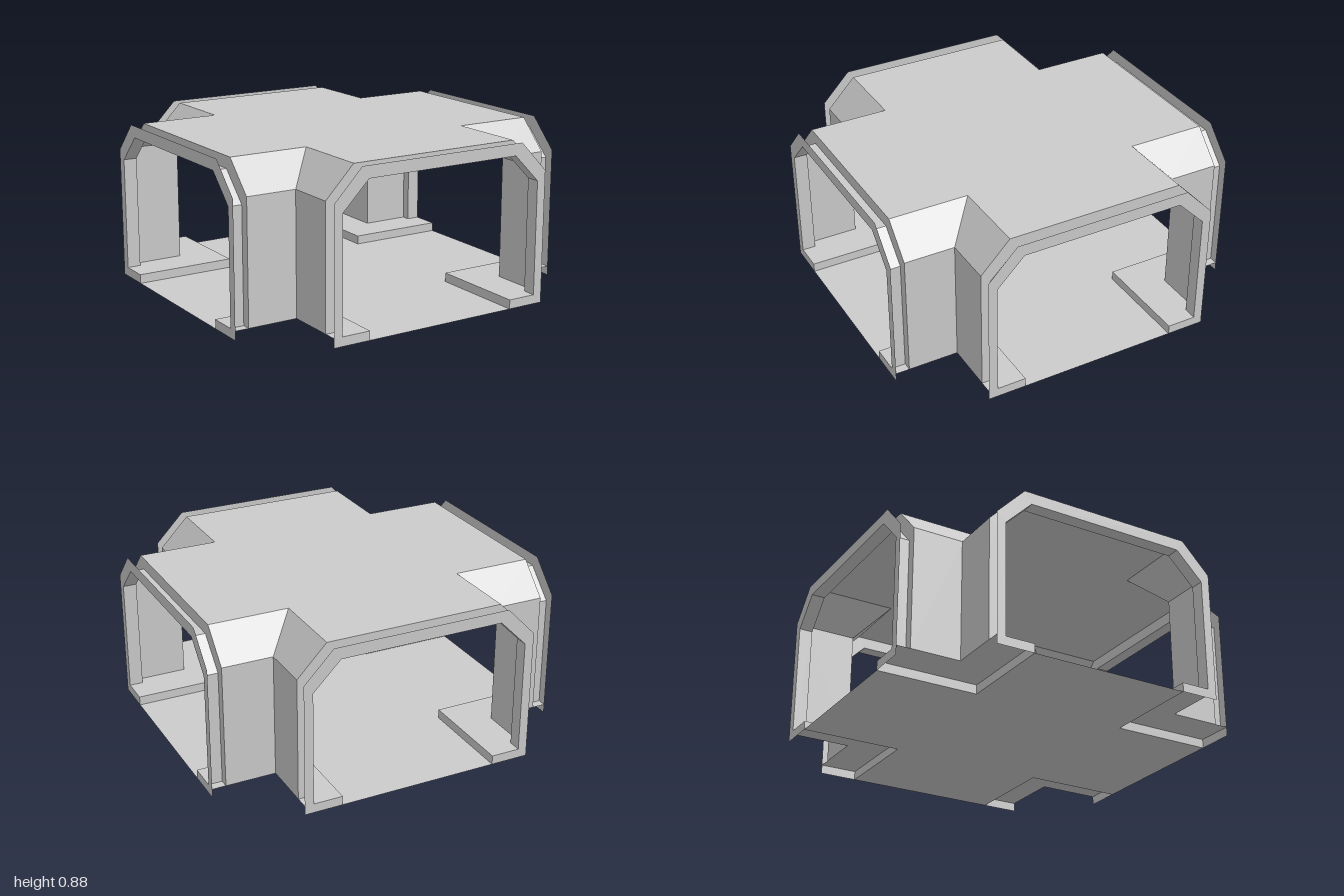
import * as THREE from 'three';

const END = 1, SHELL_END = 0.925;     // trim plane and end of the shell
const W = 0.65, TOP_W = 0.49;         // outer half width at wall and roof
const EAVE = 0.72, TOP = 0.885;       // outer heights
const LEDGE = 0.05, CHANNEL = 0.44;   // floor ledge height, half width of the sunken floor

const material = new THREE.MeshStandardMaterial({
  color: 0xcccccc, flatShading: true, side: THREE.DoubleSide,
});

function part(name, geometry) {
  const mesh = new THREE.Mesh(geometry, material);
  mesh.name = name;
  return mesh;
}

// Flat-faced sheet between two polylines with the same number of points
function loft(a, b) {
  const pos = [];
  for (let i = 0; i < a.length - 1; i++) {
    for (const p of [a[i], b[i], b[i + 1], a[i], b[i + 1], a[i + 1]]) pos.push(...p);
  }
  const g = new THREE.BufferGeometry();
  g.setAttribute('position', new THREE.Float32BufferAttribute(pos, 3));
  g.computeVertexNormals();
  return g;
}

const polygon = (pts) => new THREE.ShapeGeometry(new THREE.Shape(pts.map((p) => new THREE.Vector2(...p))));
const flat = (pts, y) => polygon(pts).rotateX(-Math.PI / 2).translate(0, y, 0);

// Outline of a plus sign with arm half width w and reach r
function cross(w, r) {
  const pts = [];
  for (let i = 0; i < 4; i++) {
    const c = Math.round(Math.cos(i * Math.PI / 2)), s = Math.round(Math.sin(i * Math.PI / 2));
    for (const [x, y] of [[r, -w], [r, w], [w, w]]) pts.push([c * x - s * y, s * x + c * y]);
  }
  return pts;
}

// Arch profile from the left foot over the roof to the right foot
function arch(w, eave, topW, top, foot) {
  return [[-w, foot], [-w, eave], [-topW, top], [topW, top], [w, eave], [w, foot]];
}

export function createModel() {
  const model = new THREE.Group();
  model.name = 'corridorCrossing';

  model.add(part('roof', flat(cross(TOP_W, SHELL_END), TOP)));
  model.add(part('floor', flat(cross(CHANNEL, END), 0)));

  const outer = arch(W, EAVE, TOP_W, TOP, LEDGE);
  const inner = arch(0.6, 0.67, 0.45, 0.82, LEDGE);
  const at = (pts, z) => pts.map(([x, y]) => [x, y, z]);

  // Face of the doorway trim, with short feet in front of the ledges
  const trimFace = [
    ...arch(W, EAVE, TOP_W, TOP, 0),
    [CHANNEL, 0], [CHANNEL, LEDGE],
    ...[...inner].reverse(),
    [-CHANNEL, LEDGE], [-CHANNEL, 0],
  ].reverse();

  // L-shaped ledge in one corner and the riser along its inner edge
  const ledge = [[CHANNEL, CHANNEL], [END, CHANNEL], [END, W], [W, W], [W, END], [CHANNEL, END]];
  const riser = [[CHANNEL, -END], [CHANNEL, -CHANNEL], [END, -CHANNEL]];
  const riserAt = (y) => riser.map(([x, z]) => [x, y, z]);

  for (let i = 0; i < 4; i++) {
    const arm = new THREE.Group();
    arm.name = 'arm';
    arm.rotation.y = i * Math.PI / 2;

    // Walls and sloped eaves, mitred where they meet the next arm
    for (const s of [1, -1]) {
      const end = [[s * W, LEDGE, SHELL_END], [s * W, EAVE, SHELL_END], [s * TOP_W, TOP, SHELL_END]];
      const corner = [[s * W, LEDGE, W], [s * W, EAVE, W], [s * TOP_W, TOP, TOP_W]];
      arm.add(part('wall', s > 0 ? loft(end, corner) : loft(corner, end)));
    }

    // Doorway trim: face, sleeve and the step back to the shell
    arm.add(part('trimFace', polygon(trimFace).translate(0, 0, END)));
    arm.add(part('trimSleeve', loft(at(inner, END), at(inner, SHELL_END))));
    arm.add(part('trimStep', loft(at(inner, SHELL_END), at(outer, SHELL_END))));

    arm.add(part('floorLedge', flat(ledge, LEDGE)));
    arm.add(part('ledgeRiser', loft(riserAt(LEDGE), riserAt(0))));
    model.add(arm);
  }
  return model;
}
